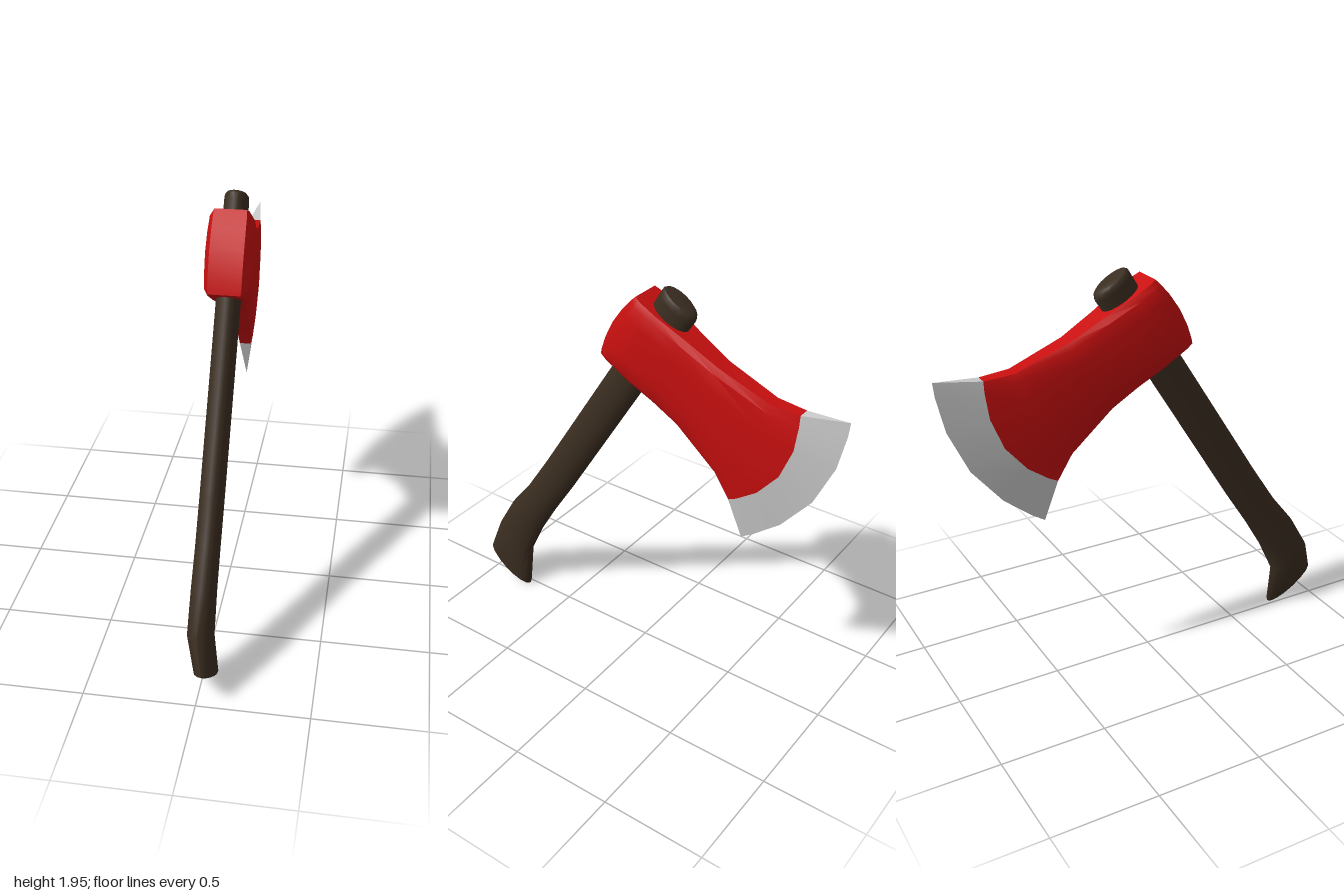
import * as THREE from 'three';
import { toCreasedNormals } from 'three/addons/utils/BufferGeometryUtils.js';

// Skin a list of closed rings (equal, even point counts), with optional end caps
function loft(rings, capStart, capEnd, crease) {
  const n = rings[0].length, last = (rings.length - 1) * n, index = [];
  const quad = (a, b, c, d) => index.push(a, b, c, a, c, d);
  for (let i = 0; i < rings.length - 1; i++) {
    for (let k = 0; k < n; k++) {
      const k2 = (k + 1) % n;
      quad(i * n + k, i * n + k2, (i + 1) * n + k2, (i + 1) * n + k);
    }
  }
  for (let k = 0; k < n / 2 - 1; k++) {
    if (capStart) quad(n - 1 - k, n - 2 - k, k + 1, k);
    if (capEnd) quad(last + k, last + k + 1, last + n - 2 - k, last + n - 1 - k);
  }
  const geo = new THREE.BufferGeometry();
  geo.setAttribute('position', new THREE.Float32BufferAttribute(rings.flat(2), 3));
  geo.setIndex(index);
  return toCreasedNormals(geo, crease);
}

// Oval ring spanning a front point and a back point, each [z, y]
function ovalRing([front, back, halfWidth, x = 0]) {
  const ring = [];
  for (let k = 0; k < 16; k++) {
    const a = (k / 16) * Math.PI * 2, s = (1 - Math.sin(a)) / 2;
    ring.push([
      x + Math.cos(a) * halfWidth,
      THREE.MathUtils.lerp(back[1], front[1], s),
      THREE.MathUtils.lerp(back[0], front[0], s),
    ]);
  }
  return ring;
}

// Head section: a curve through top, middle and bottom points [z, y], thickened in x
const ROWS = [0, 0.07, 0.25, 0.5, 0.75, 0.93, 1];
function headRing([top, mid, bottom, halfWidth, rim]) {
  const side = ROWS.map((t) => {
    const a = (1 - t) * (1 - 2 * t), b = 4 * t * (1 - t), c = t * (2 * t - 1);
    const p = [0, 1].map((j) => a * top[j] + b * mid[j] + c * bottom[j]);
    const edge = Math.abs(t - 0.5) * 2;
    const w = edge === 1 ? rim : 1 - (1 - rim) * 0.45 * edge * edge;
    return [halfWidth * w, p[1], p[0]];
  });
  return [...side, ...side.slice().reverse().map(([x, y, z]) => [-x, y, z])];
}

export function createModel() {
  const group = new THREE.Group();
  const add = (name, geometry, color) => {
    const mesh = new THREE.Mesh(geometry, new THREE.MeshStandardMaterial({ color }));
    mesh.name = name;
    group.add(mesh);
  };

  // Handle: curved grip with a slanted foot, straight shaft, softened top end
  const handle = [
    [[0.99, 0.158], [0.75, 0.006], 0.046, 0.028],
    [[1.0, 0.17], [0.745, 0.012], 0.05, 0.026],
    [[0.945, 0.33], [0.745, 0.215], 0.058, 0],
    [[0.85, 0.49], [0.655, 0.4], 0.056],
    [[0.73, 0.64], [0.565, 0.55], 0.055],
    [[0.6, 0.835], [0.44, 0.74], 0.055],
    [[0.14, 1.56], [-0.01, 1.46], 0.055],
    [[-0.085, 1.93], [-0.255, 1.83], 0.055],
    [[-0.098, 1.95], [-0.258, 1.853], 0.053],
    [[-0.11, 1.955], [-0.247, 1.872], 0.044],
  ];
  add('handle', loft(handle.map(ovalRing), true, true, 0.75), 0x3a2d20);

  // Head: sections from the poll to the cutting edge
  const sections = [
    [[0, 1.905], [0.12, 1.757], [0.19, 1.585], 0.075, 0.95],
    [[-0.025, 1.89], [0.08, 1.733], [0.16, 1.567], 0.1, 0.78],
    [[-0.1, 1.847], [-0.02, 1.676], [0.04, 1.495], 0.106, 0.72],
    [[-0.245, 1.765], [-0.165, 1.6], [-0.08, 1.42], 0.09, 0.62],
    [[-0.4, 1.68], [-0.325, 1.505], [-0.2, 1.34], 0.073, 0.58],
    [[-0.65, 1.585], [-0.575, 1.34], [-0.4, 1.16], 0.053, 0.65],
    [[-0.79, 1.575], [-0.715, 1.255], [-0.47, 1.04], 0.034, 0.8],
    [[-1, 1.6], [-0.865, 1.165], [-0.53, 0.845], 0, 1],
  ].map(headRing);
  add('axeHead', loft(sections.slice(0, 7), true, false, 0.6), 0xc80f0f);
  add('cuttingEdge', loft(sections.slice(6), false, false, 0.6), 0xcccccc);

  return group;
}
